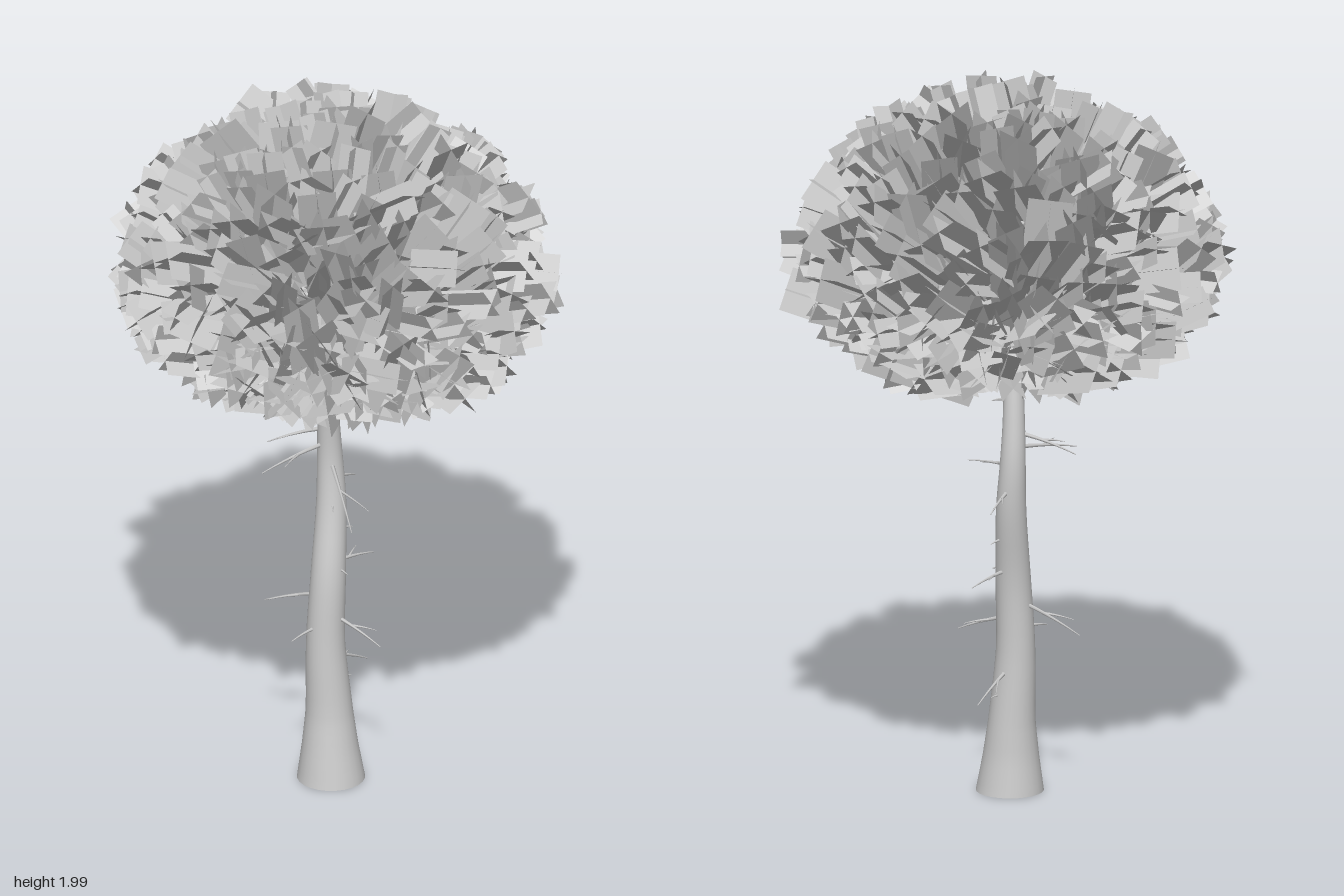
import * as THREE from 'three';
import { mergeGeometries, mergeVertices } from 'three/addons/utils/BufferGeometryUtils.js';

const V = (x, y, z) => new THREE.Vector3(x, y, z);
let seed = 7;
const rand = () => {
  seed = (seed * 16807) % 2147483647;
  return seed / 2147483647;
};
const range = (a, b) => a + (b - a) * rand();

// Trunk stations: x, y, z, radius
const stations = [
  [-0.03, 0, 0.012, 0.092], [-0.029, 0.1, 0.008, 0.076], [-0.026, 0.2, 0.003, 0.064],
  [-0.029, 0.4, -0.007, 0.053], [-0.018, 0.6, -0.006, 0.048], [0.014, 0.8, -0.02, 0.041],
  [0.02, 0.93, -0.029, 0.035], [0.01, 1.05, -0.026, 0.03], [-0.006, 1.2, -0.012, 0.026],
  [0, 1.35, 0, 0.021], [0.005, 1.55, 0, 0.008],
];
const spine = new THREE.CatmullRomCurve3(stations.map(s => V(s[0], s[1], s[2])));

function radiusAt(t) {
  const f = t * (stations.length - 1), i = Math.min(Math.floor(f), stations.length - 2);
  return THREE.MathUtils.lerp(stations[i][3], stations[i + 1][3], f - i);
}

function spineAtHeight(y) {
  let i = 0;
  while (i < stations.length - 2 && stations[i + 1][1] < y) i++;
  const a = stations[i][1], b = stations[i + 1][1];
  return spine.getPoint((i + (y - a) / (b - a)) / (stations.length - 1));
}

// Open cylinder bent along the spine
function trunkGeometry() {
  const geo = new THREE.CylinderGeometry(1, 1, 1, 24, 40, true);
  const p = geo.attributes.position;
  for (let i = 0; i < p.count; i++) {
    const t = p.getY(i) + 0.5, c = spine.getPoint(t), r = radiusAt(t);
    p.setXYZ(i, c.x + p.getX(i) * r, c.y, c.z + p.getZ(i) * r);
  }
  geo.deleteAttribute('uv');
  geo.deleteAttribute('normal');
  const merged = mergeVertices(geo, 1e-5);
  merged.computeVertexNormals();
  return merged;
}

// Tapered, slightly arched tube between two points
function twigGeometry(a, b, r, arch) {
  const mid = a.clone().lerp(b, 0.5).add(V(0, arch, 0));
  const curve = new THREE.QuadraticBezierCurve3(a, mid, b);
  const seg = 6, sides = 5;
  const geo = new THREE.TubeGeometry(curve, seg, r, sides, false);
  const p = geo.attributes.position, v = V(0, 0, 0);
  for (let i = 0; i < p.count; i++) {
    const t = Math.floor(i / (sides + 1)) / seg, c = curve.getPointAt(t);
    v.fromBufferAttribute(p, i).sub(c).multiplyScalar(1 - 0.8 * t).add(c);
    p.setXYZ(i, v.x, v.y, v.z);
  }
  return geo;
}

// Bare twigs: start height, then tip x, y, z
const twigs = [
  [0.92, -0.19, 0.85, 0.2], [0.975, -0.19, 0.94, -0.1], [1.02, -0.06, 0.96, -0.18],
  [0.86, 0.15, 0.82, -0.04], [0.625, 0.15, 0.605, 0.02], [0.45, -0.15, 0.44, -0.03],
  [0.36, 0.15, 0.28, 0.0], [0.54, -0.03, 0.465, -0.21], [0.49, -0.02, 0.43, 0.17],
  [0.71, 0.07, 0.71, 0.01], [0.8, -0.03, 0.795, 0.02], [0.27, 0.05, 0.275, 0.02],
  [0.62, -0.02, 0.615, 0.06], [1.1, 0.0, 1.09, 0.05], [1.15, -0.02, 1.15, -0.1],
];

function twigsGeometry() {
  const parts = [];
  for (const [y, ...tip] of twigs) {
    const a = spineAtHeight(y), b = V(...tip), length = a.distanceTo(b);
    parts.push(twigGeometry(a, b, 0.007, 0.012));
    // Side shoot on the longer twigs
    if (length > 0.13) {
      const fork = a.clone().lerp(b, 0.45).add(V(0, 0.005, 0));
      const out = b.clone().sub(a).applyAxisAngle(V(0, 1, 0), 0.5).multiplyScalar(0.4);
      parts.push(twigGeometry(fork, fork.clone().add(out).add(V(0, 0.012, 0)), 0.004, 0.004));
    }
  }
  return mergeGeometries(parts);
}

// Point on the crown dome for a unit direction
function crownPoint(d, k) {
  const lump = 1 - 0.025 * (1 + Math.sin(5 * Math.atan2(d.z, d.x) + 4 * d.y));
  return V(d.x * 0.615 * lump * k, 1.49 + d.y * (d.y > 0 ? 0.505 : 0.35) * k, d.z * 0.625 * lump * k);
}

// Even directions over the dome, leaving the trunk opening free
function domeDirections(count) {
  return Array.from({ length: count }, (_, i) => {
    const y = 1 - 1.86 * (i + 0.5) / count, r = Math.sqrt(1 - y * y), a = i * 2.39996;
    return V(r * Math.cos(a), y, r * Math.sin(a));
  });
}

const heart = V(0, 1.3, 0);

function branchesGeometry() {
  return mergeGeometries(domeDirections(28).map(d => {
    const a = spineAtHeight(THREE.MathUtils.clamp(1.3 + d.y * 0.2, 1.22, 1.5));
    return twigGeometry(a, crownPoint(d, 0.75), 0.011, 0.01);
  }));
}

// Crossed pairs of flat leaf cards pointing outwards
function foliageGeometry() {
  const cards = [], up = V(0, 1, 0);
  domeDirections(520).forEach((d, i) => {
    const inner = i % 4 === 0;
    const tip = crownPoint(d, inner ? range(0.6, 0.85) : range(0.88, 0.995));
    const out = tip.clone().sub(heart).normalize();
    const tilt = inner ? 0.25 : 0.4;
    out.add(V(range(-tilt, tilt), range(-tilt, tilt), range(-tilt, tilt))).normalize();
    const turn = new THREE.Quaternion().setFromUnitVectors(up, out);
    const length = Math.min(range(0.16, 0.32), tip.distanceTo(heart) * 0.95);
    const width = range(0.075, 0.125), spin = range(0, Math.PI);
    for (const quarter of [0, Math.PI / 2]) {
      const card = new THREE.PlaneGeometry(width, length);
      card.translate(0, -length / 2, 0).rotateY(spin + quarter);
      card.applyQuaternion(turn).translate(tip.x, tip.y, tip.z);
      cards.push(card);
    }
  });
  return mergeGeometries(cards);
}

export function createModel() {
  seed = 7;
  const group = new THREE.Group();
  group.name = 'tree';
  const material = new THREE.MeshStandardMaterial({ color: 0xcccccc, side: THREE.DoubleSide });
  const add = (name, geometry) => {
    const mesh = new THREE.Mesh(geometry, material);
    mesh.name = name;
    group.add(mesh);
  };
  add('trunk', trunkGeometry());
  add('twigs', twigsGeometry());
  add('crownBranches', branchesGeometry());
  add('foliage', foliageGeometry());
  return group;
}
